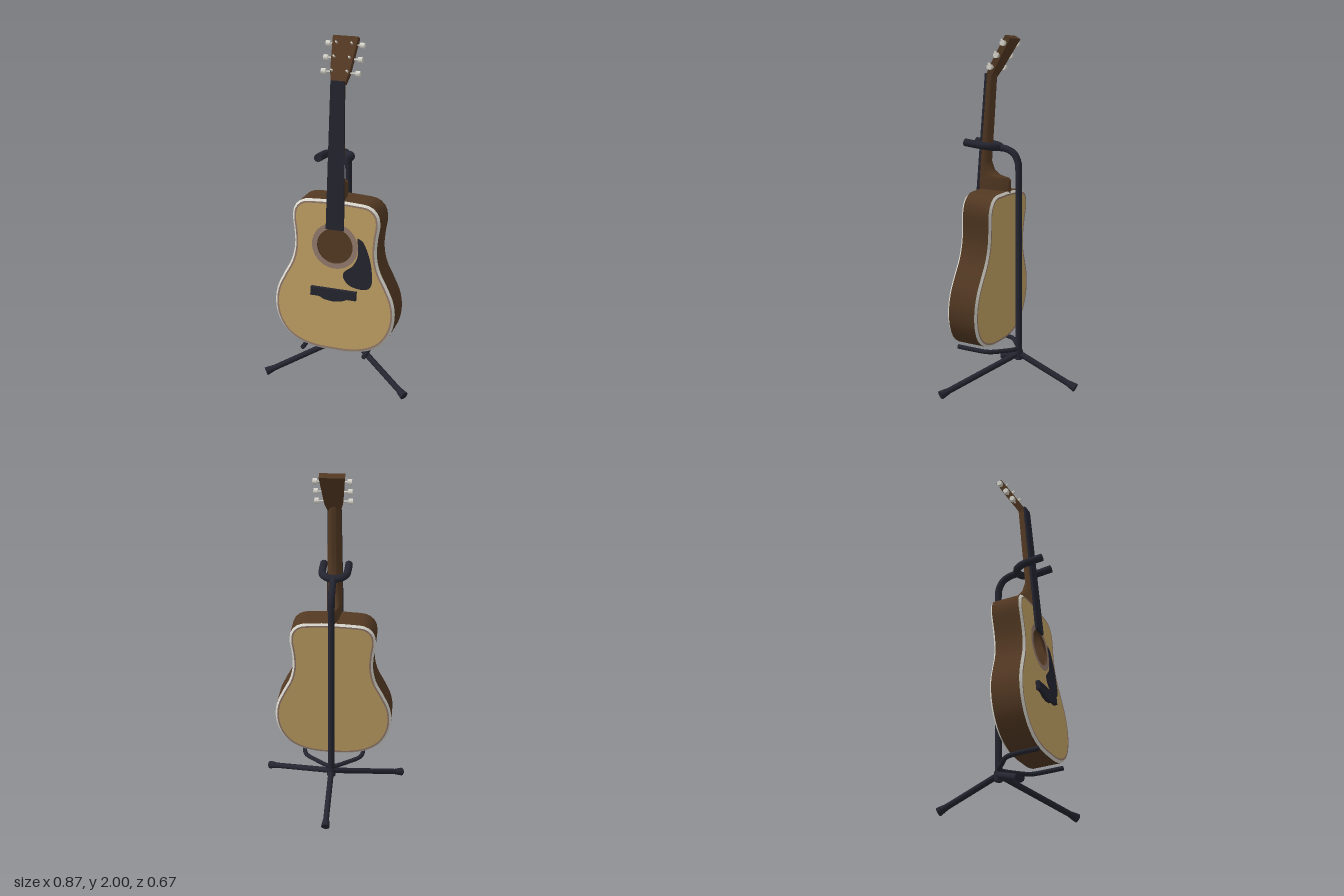
import * as THREE from 'three';
import { toCreasedNormals } from 'three/addons/utils/BufferGeometryUtils.js';

const V2 = (x, y) => new THREE.Vector2(x, y);
const V3 = (x, y, z) => new THREE.Vector3(x, y, z);
const material = (name, color, side = THREE.FrontSide) => {
  const m = new THREE.MeshStandardMaterial({ color, side });
  m.name = name;
  return m;
};

// Skin closed rings of equal length, first ring to last
function loft(rings) {
  const n = rings[0].length, index = [];
  for (let r = 0; r < rings.length - 1; r++) {
    for (let i = 0; i < n; i++) {
      const j = (i + 1) % n, a = r * n, b = a + n;
      index.push(a + i, a + j, b + j, a + i, b + j, b + i);
    }
  }
  const g = new THREE.BufferGeometry().setFromPoints(rings.flat());
  g.setIndex(index);
  return toCreasedNormals(g, 0.6);
}

// Body outline, counter-clockwise from the bottom, moved inwards by inset
const half = [[0.1, 0.003], [0.2, 0.027], [0.28, 0.078], [0.332, 0.16], [0.35, 0.255], [0.338, 0.345],
  [0.298, 0.435], [0.255, 0.52], [0.236, 0.61], [0.24, 0.7], [0.25, 0.78], [0.238, 0.84], [0.195, 0.88], [0.1, 0.892]];
const bodyCurve = new THREE.CatmullRomCurve3([
  V3(0, 0, 0), ...half.map(([x, y]) => V3(x, y, 0)),
  V3(0, 0.895, 0), ...half.map(([x, y]) => V3(-x, y, 0)).reverse()], true);

function outline(inset) {
  return Array.from({ length: 90 }, (_, i) => {
    const p = bodyCurve.getPointAt(i / 90), t = bodyCurve.getTangentAt(i / 90);
    return V2(p.x - t.y * inset, p.y + t.x * inset);
  });
}
const ring = (inset, z) => outline(inset).map((p) => V3(p.x, p.y, z));

export function createModel() {
  const spruce = material('light wood', 0xc0a062);
  const brown = material('brown wood', 0x533923);
  const brownShell = brown;
  brownShell.side = THREE.DoubleSide;
  const black = material('blue black', 0x242530);
  const white = material('ivory white', 0xd9d7cd);
  const inlay = material('inlay mauve', 0x92796c);

  const model = new THREE.Group();
  model.name = 'guitarOnStand';
  const guitar = new THREE.Group();
  guitar.name = 'guitar';
  guitar.position.set(0, 0.25, 0.32);
  guitar.rotation.x = -0.078;
  const stand = new THREE.Group();
  stand.name = 'stand';
  model.add(guitar, stand);

  function add(parent, name, geometry, mat, x = 0, y = 0, z = 0) {
    const mesh = new THREE.Mesh(geometry, mat);
    mesh.name = name;
    mesh.position.set(x, y, z);
    parent.add(mesh);
    return mesh;
  }
  const plate = (points, depth) => new THREE.ExtrudeGeometry(new THREE.Shape(points), { depth, bevelEnabled: false });

  // Body shell with chamfered binding at both edges
  const D = 0.18, B = 0.012, I = 0.022, holeY = 0.635, holeR = 0.102;
  add(guitar, 'bodySides', loft([ring(0, -D + B), ring(0, -B)]), brownShell);
  add(guitar, 'frontBinding', loft([ring(0, -B), ring(B, 0)]), white);
  add(guitar, 'backBinding', loft([ring(B, -D), ring(0, -D + B)]), white);
  add(guitar, 'frontPurfling', loft([ring(B, 0), ring(I, 0)]), inlay);
  add(guitar, 'backPurfling', loft([ring(I, -D), ring(B, -D)]), inlay);

  const top = new THREE.Shape(outline(I));
  top.holes.push(new THREE.Path().absarc(0, holeY, holeR, 0, Math.PI * 2, true));
  add(guitar, 'soundboard', new THREE.ShapeGeometry(top, 24), spruce);
  const back = new THREE.ShapeGeometry(new THREE.Shape(outline(I)));
  add(guitar, 'backInside', back, brown, 0, 0, -D + 0.004);
  add(guitar, 'backPanel', back.clone().rotateY(Math.PI), spruce, 0, 0, -D);

  // Sound hole
  add(guitar, 'rosette', new THREE.RingGeometry(holeR, 0.132, 48), inlay, 0, holeY, 0.002);
  const lip = new THREE.CylinderGeometry(holeR, holeR, 0.014, 48, 1, true).rotateX(Math.PI / 2);
  add(guitar, 'soundHoleLip', lip, brownShell, 0, holeY, -0.005);

  // Pickguard
  const guard = new THREE.Shape();
  guard.moveTo(0.128, 0.697);
  guard.splineThru([V2(0.165, 0.672), V2(0.203, 0.575), V2(0.217, 0.47), V2(0.205, 0.417), V2(0.16, 0.4),
    V2(0.09, 0.415), V2(0.054, 0.455), V2(0.058, 0.492), V2(0.106, 0.535), V2(0.133, 0.6), V2(0.128, 0.697)]);
  add(guitar, 'pickguard', new THREE.ExtrudeGeometry(guard, { depth: 0.003, bevelEnabled: false, curveSegments: 40 }), black, 0, 0, 0.001);

  // Bridge with a belly on its lower edge
  add(guitar, 'bridge', plate([V2(-0.132, 0.335), V2(-0.08, 0.335), V2(-0.05, 0.32), V2(0, 0.314), V2(0.05, 0.32),
    V2(0.08, 0.335), V2(0.132, 0.335), V2(0.132, 0.384), V2(-0.132, 0.384)], 0.022), black);

  // Neck and heel: D-shaped sections of [height, half width, depth]
  const sections = [[0.875, 0.04, 0.18], [0.955, 0.042, 0.178], [0.97, 0.042, 0.165], [0.98, 0.043, 0.11],
    [1.005, 0.043, 0.07], [1.055, 0.044, 0.046], [1.3, 0.04, 0.045], [1.545, 0.037, 0.043], [1.546, 0.001, 0.001]];
  add(guitar, 'neck', loft(sections.map(([y, w, d]) => Array.from({ length: 17 }, (_, i) => {
    const a = i / 16 * Math.PI;
    return V3(w * Math.cos(a), y, -d * Math.sin(a));
  }))), brown);
  add(guitar, 'fingerboard', plate([V2(-0.051, 0.732), V2(0.051, 0.732), V2(0.038, 1.548), V2(-0.038, 1.548)], 0.013), black);

  // Headstock, bent back from the neck
  const head = new THREE.Group();
  head.name = 'headstock';
  head.position.set(0, 1.545, 0.002);
  head.rotation.x = -0.476;
  guitar.add(head);
  add(head, 'headPlate', plate([V2(-0.038, -0.005), V2(0.038, -0.005), V2(0.052, 0.05), V2(0.07, 0.247),
    V2(-0.07, 0.247), V2(-0.052, 0.05)], 0.036), brown, 0, 0, -0.036);
  const sideways = (r, h, n) => new THREE.CylinderGeometry(r, r, h, n).rotateZ(Math.PI / 2);
  for (const s of [-1, 1]) {
    for (const y of [0.055, 0.13, 0.207]) {
      add(head, 'tunerShaft', sideways(0.005, 0.045, 8), white, s * 0.067, y, -0.022);
      add(head, 'tunerKnob', sideways(0.016, 0.024, 8), white, s * 0.094, y, -0.022);
      add(head, 'stringPost', new THREE.CylinderGeometry(0.005, 0.006, 0.022, 8).rotateX(Math.PI / 2), white, s * 0.042, y, 0.009);
    }
  }

  // Stand helpers
  function rod(name, a, b, ra, rb) {
    const mesh = add(stand, name, new THREE.CylinderGeometry(rb, ra, a.distanceTo(b), 12), black);
    mesh.position.copy(a).lerp(b, 0.5);
    mesh.quaternion.setFromUnitVectors(V3(0, 1, 0), b.clone().sub(a).normalize());
  }
  function tube(name, points, r) {
    const curve = new THREE.CatmullRomCurve3(points);
    add(stand, name, new THREE.TubeGeometry(curve, 48, r, 12), black);
    for (const [p, t, s] of [[points[0], 0, -1], [points.at(-1), 1, 1]]) {
      const cap = add(stand, name + 'End', new THREE.CircleGeometry(r, 12), black);
      cap.position.copy(p);
      cap.quaternion.setFromUnitVectors(V3(0, 0, 1), curve.getTangent(t).multiplyScalar(s));
    }
  }
  const mirrored = (points) => [
    ...points.map(([x, y, z]) => V3(-x, y, z)),
    ...points.slice(0, -1).reverse().map(([x, y, z]) => V3(x, y, z))];

  // Column, curving forwards at the top into the neck fork
  rod('column', V3(0, 0.15, 0.022), V3(0, 1.25, 0.022), 0.019, 0.019);
  tube('columnBend', [V3(0, 1.25, 0.022), V3(0, 1.295, 0.026), V3(0, 1.342, 0.05), V3(0, 1.368, 0.095), V3(0, 1.376, 0.15)], 0.02);
  tube('neckFork', mirrored([[0.073, 1.405, 0.323], [0.073, 1.394, 0.25], [0.068, 1.386, 0.195], [0.042, 1.38, 0.158], [0, 1.377, 0.146]]), 0.022);

  // Cradle under the body
  tube('cradle', mirrored([[0.182, 0.24, 0.32], [0.182, 0.232, 0.22], [0.168, 0.224, 0.14], [0.1, 0.217, 0.085], [0, 0.213, 0.03]]), 0.013);

  // Hub and three legs with flared feet
  rod('hub', V3(0, 0.155, 0.022), V3(0, 0.205, 0.022), 0.025, 0.025);
  for (const end of [V3(0, 0.024, -0.33), V3(0.42, 0.024, 0.31), V3(-0.42, 0.024, 0.31)]) {
    const start = V3(0, 0.188, 0.022);
    const ankle = end.clone().lerp(start, 0.05 / start.distanceTo(end));
    rod('leg', start, ankle, 0.017, 0.017);
    rod('foot', ankle, end, 0.018, 0.025);
  }
  return model;
}
